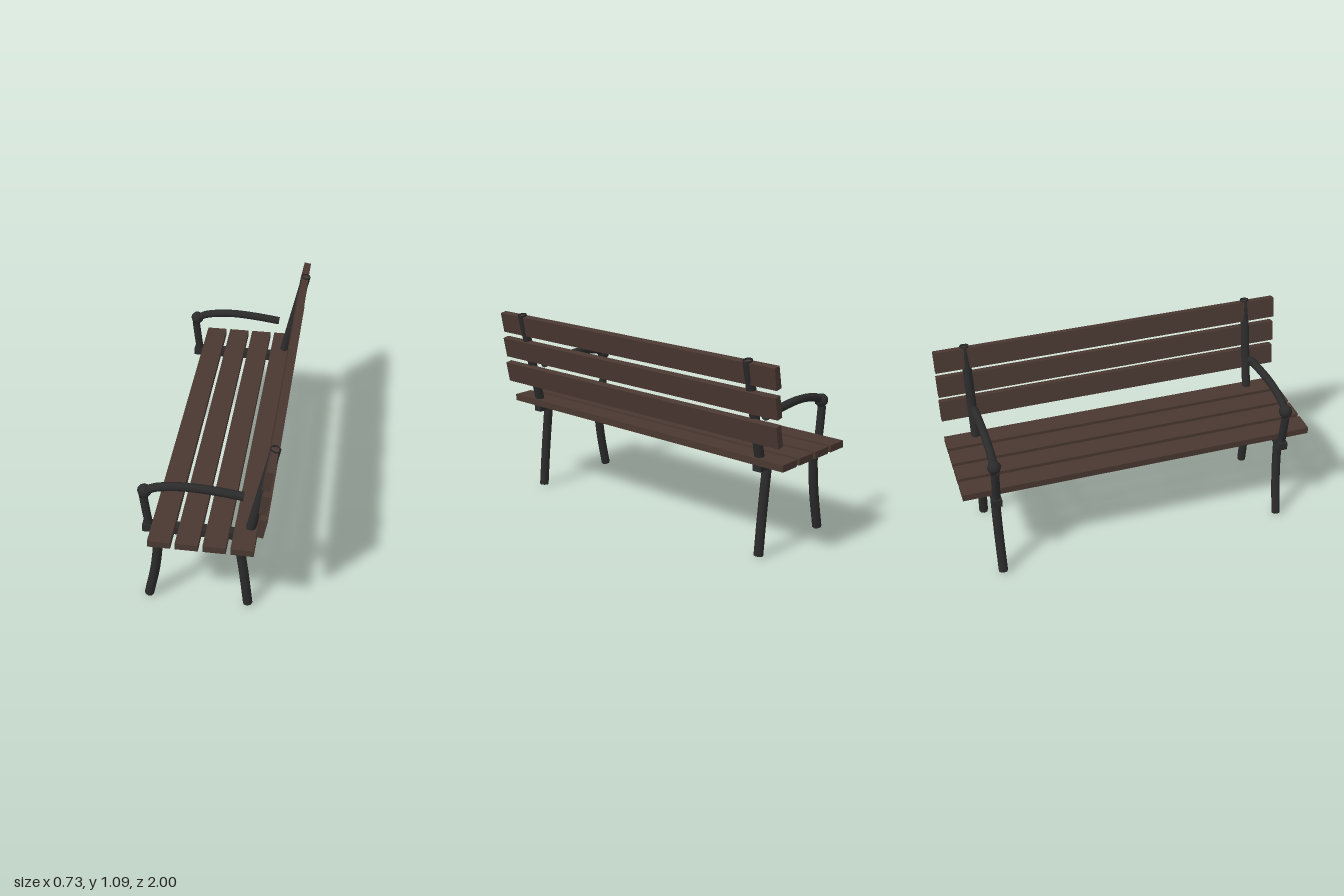
import * as THREE from 'three';

const wood = new THREE.MeshStandardMaterial({ color: 0x4a3831 });
wood.name = 'brownWood';
const metal = new THREE.MeshStandardMaterial({ color: 0x2b2b2b, side: THREE.DoubleSide });
metal.name = 'darkMetal';

function add(parent, name, geometry, material, x = 0, y = 0, z = 0) {
  const mesh = new THREE.Mesh(geometry, material);
  mesh.name = name;
  mesh.position.set(x, y, z);
  parent.add(mesh);
  return mesh;
}

// open round bar swept through points in the x-y plane
function bar(parent, name, points, radius, segments = 12) {
  const curve = new THREE.CatmullRomCurve3(points.map(([x, y]) => new THREE.Vector3(x, y, 0)));
  add(parent, name, new THREE.TubeGeometry(curve, segments, radius, 8), metal);
}

function endFrame(z) {
  const frame = new THREE.Group();
  frame.name = 'endFrame';
  frame.position.z = z;
  add(frame, 'seatSupport', new THREE.BoxGeometry(0.586, 0.045, 0.05), metal, -0.052, 0.502, 0);
  bar(frame, 'frontLeg', [[-0.333, 0.005], [-0.293, 0.2], [-0.274, 0.35], [-0.265, 0.5]], 0.026);
  bar(frame, 'backLeg', [[0.207, 0.005], [0.185, 0.22], [0.168, 0.36], [0.15, 0.5]], 0.026);
  bar(frame, 'backPost', [[0.207, 0.5], [0.336, 1.086]], 0.026, 1);
  bar(frame, 'armPost', [[-0.311, 0.5], [-0.324, 0.6], [-0.335, 0.705]], 0.023);
  bar(frame, 'armrest', [[-0.315, 0.742], [-0.28, 0.763], [-0.2, 0.78], [-0.1, 0.787], [0.03, 0.779], [0.182, 0.76]], 0.023, 20);
  add(frame, 'armKnob', new THREE.SphereGeometry(0.038, 8, 6), metal, -0.327, 0.738, 0);
  return frame;
}

export function createModel() {
  const bench = new THREE.Group();
  bench.name = 'bench';

  // seat: four flat slats
  for (let i = 0; i < 4; i++) {
    add(bench, 'seatSlat', new THREE.BoxGeometry(0.118, 0.038, 2), wood, -0.2285 + i * 0.1415, 0.538, 0);
  }
  // backrest: three leaning slats
  for (let i = 0; i < 3; i++) {
    const slat = add(bench, 'backSlat', new THREE.BoxGeometry(0.039, 0.118, 2), wood, 0.292 + i * 0.0135, 0.713 + i * 0.1525, 0);
    slat.rotation.z = -0.187;
  }
  // iron frames near both ends
  for (const side of [-1, 1]) bench.add(endFrame(side * 0.825));
  return bench;
}
